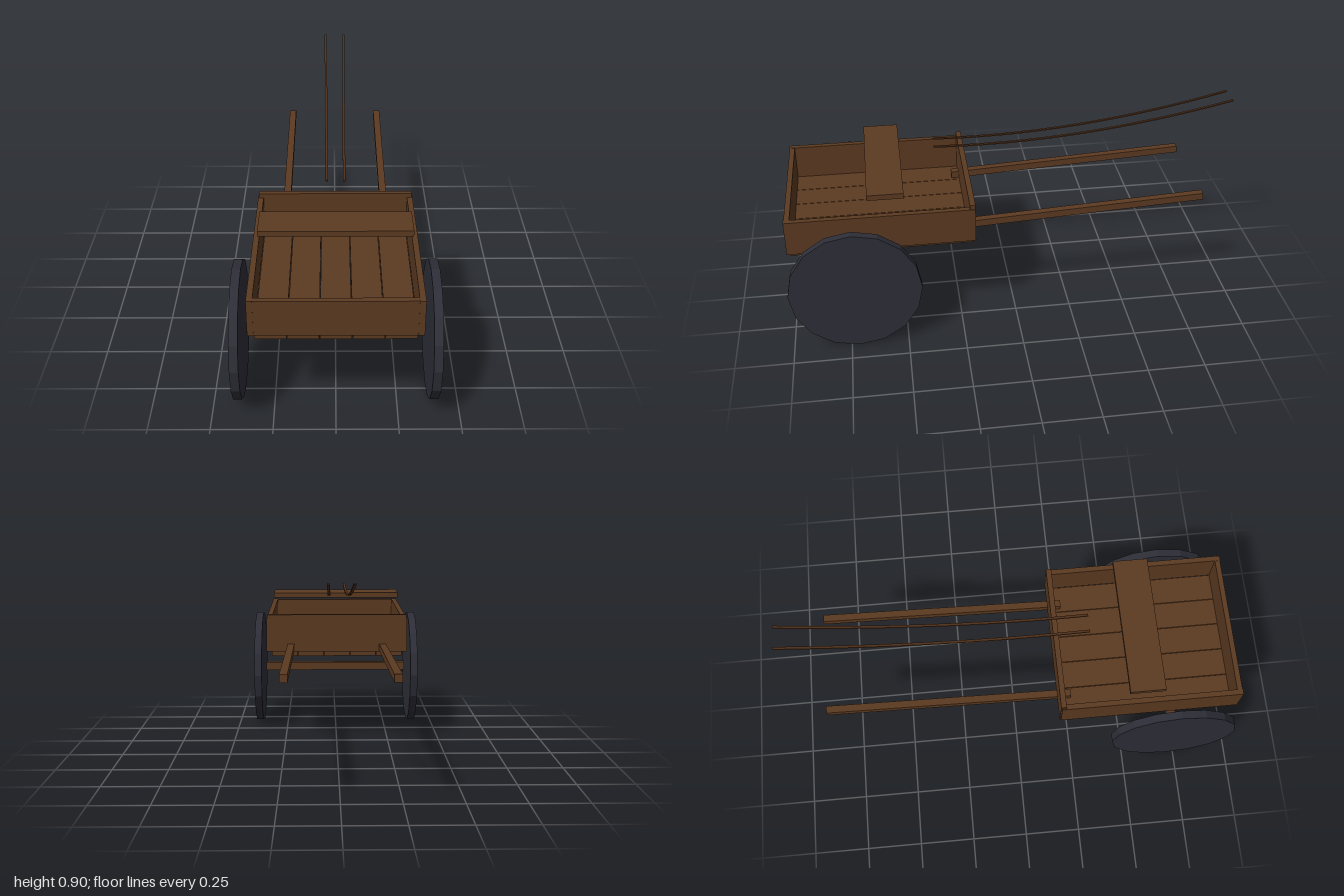
import * as THREE from 'three';

export function createModel() {
  const cart = new THREE.Group();
  cart.name = 'cart';

  const wood = new THREE.MeshStandardMaterial({ color: 0x5c3a21 });
  wood.name = 'brown wood';
  const iron = new THREE.MeshStandardMaterial({ color: 0x2e2e38, flatShading: true });
  iron.name = 'dark wheel';
  const leather = new THREE.MeshStandardMaterial({ color: 0x4f301a });
  leather.name = 'rein leather';

  function add(name, geometry, material, x = 0, y = 0, z = 0) {
    const mesh = new THREE.Mesh(geometry, material);
    mesh.name = name;
    mesh.position.set(x, y, z);
    cart.add(mesh);
    return mesh;
  }

  // Box given by its lower and upper limits on each axis
  function board(name, [x0, x1], [y0, y1], [z0, z1]) {
    return add(name, new THREE.BoxGeometry(x1 - x0, y1 - y0, z1 - z0), wood,
      (x0 + x1) / 2, (y0 + y1) / 2, (z0 + z1) / 2);
  }

  // Floor of five planks with narrow gaps
  for (let i = -2; i <= 2; i++) {
    const x = i * 0.1243;
    board('floorPlank', [x - 0.0608, x + 0.0608], [0.43, 0.455], [0.197, 0.977]);
  }

  // Tray walls and seat
  board('tailBoard', [-0.331, 0.331], [0.453, 0.609], [0.963, 0.986]);
  board('headBoard', [-0.331, 0.331], [0.453, 0.63], [0.185, 0.209]);
  board('seat', [-0.31, 0.31], [0.676, 0.7], [0.483, 0.638]);

  // Axle
  board('axle', [-0.363, 0.363], [0.267, 0.307], [0.694, 0.734]);

  // Strap: a thin bar whose sections follow a sagging curve
  function strap(side) {
    const curve = new THREE.QuadraticBezierCurve3(
      new THREE.Vector3(side * 0.037, 0.762, 0.335),
      new THREE.Vector3(side * 0.039, 0.735, -0.3),
      new THREE.Vector3(side * 0.0475, 0.902, -1));
    const geometry = new THREE.BoxGeometry(0.011, 0.006, 1, 1, 1, 16);
    const p = geometry.attributes.position;
    for (let i = 0; i < p.count; i++) {
      const c = curve.getPoint(0.5 - p.getZ(i));
      p.setXYZ(i, c.x + p.getX(i), c.y + p.getY(i), c.z);
    }
    geometry.computeVertexNormals();
    return geometry;
  }

  for (const side of [1, -1]) {
    const label = side > 0 ? 'left' : 'right';

    // Side wall
    const wall = add(label + 'SideBoard', new THREE.BoxGeometry(0.024, 0.157, 0.798), wood,
      side * 0.323, 0.5315, 0.589);
    wall.castShadow = true;

    // Solid sixteen-sided wheel
    const wheel = add(label + 'Wheel', new THREE.CylinderGeometry(0.286, 0.286, 0.036, 16), iron,
      side * 0.393, 0.286, 0.714);
    wheel.rotation.z = Math.PI / 2;

    // Pulling shaft, rising away from the tray
    const shaft = add(label + 'Shaft', new THREE.BoxGeometry(0.032, 0.032, 1.09), wood,
      side * 0.218, 0.4985, -0.3);
    shaft.rotation.x = 0.0534;

    // Rein
    add(label + 'Rein', strap(side), leather);
  }

  return cart;
}
